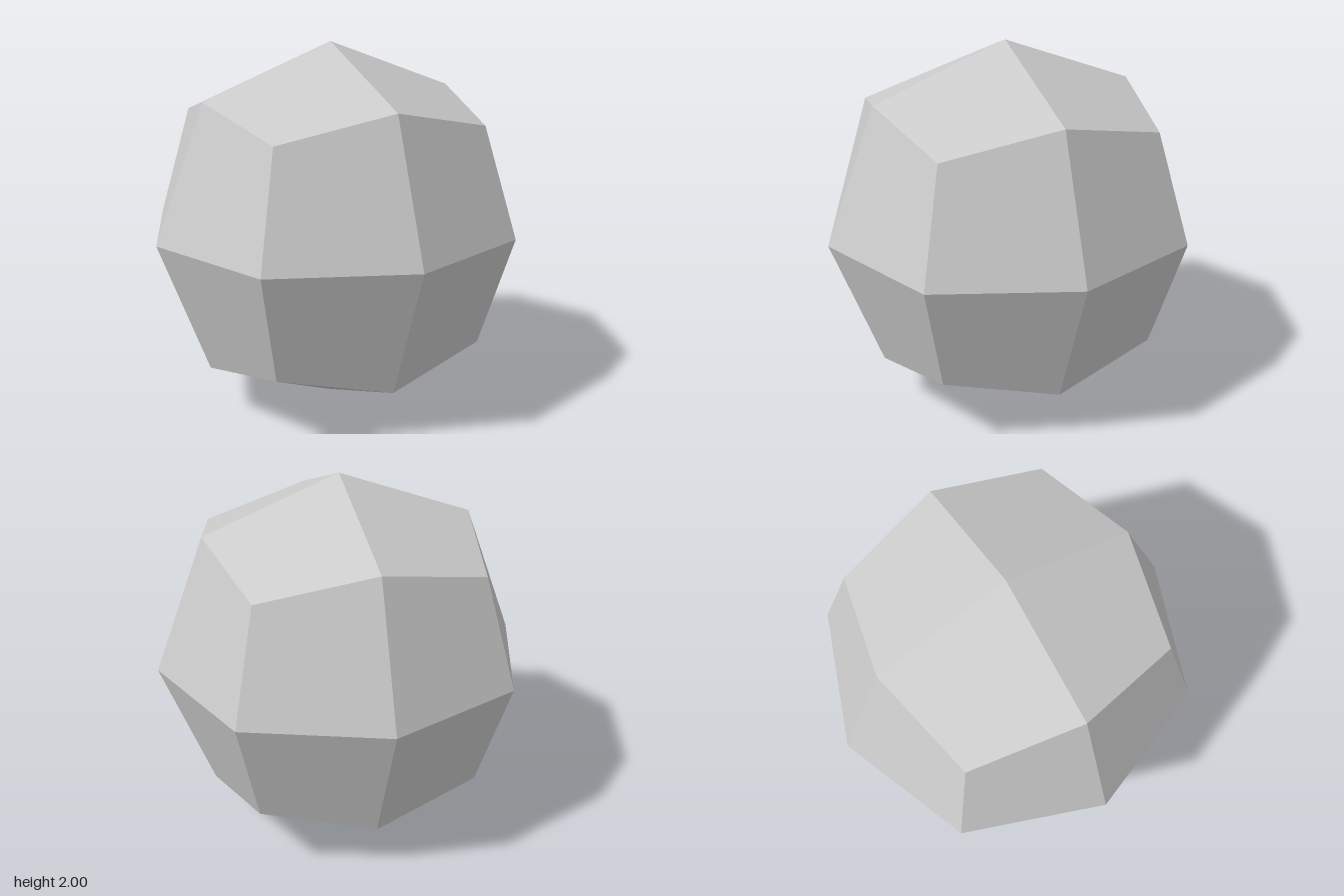
import * as THREE from 'three';

// Faceted ball: 24 kite-shaped facets, three in each octant.
const EDGE = 0.726;    // coordinate of points midway between two axes
const CORNER = 0.596;  // coordinate of points in the middle of an octant

// One kite around the given axis, in the octant set by the signs.
function addKite(axis, signs, positions, normals) {
  const point = (a, b, c) => {
    const p = new THREE.Vector3();
    [a, b, c].forEach((value, i) => {
      const k = (axis + i) % 3;
      p.setComponent(k, value * signs[k]);
    });
    return p;
  };
  const tip = point(1, 0, 0);
  const sideA = point(EDGE, EDGE, 0);
  const corner = point(CORNER, CORNER, CORNER);
  const sideB = point(EDGE, 0, EDGE);
  const mirrored = signs[0] * signs[1] * signs[2] < 0;
  const [first, last] = mirrored ? [sideB, sideA] : [sideA, sideB];

  // One shared normal keeps each kite evenly shaded
  const normal = corner.clone().sub(tip).cross(last.clone().sub(first)).normalize();
  for (const p of [tip, first, corner, tip, corner, last]) {
    positions.push(p.x, p.y + 1, p.z);
    normals.push(normal.x, normal.y, normal.z);
  }
}

export function createModel() {
  const positions = [];
  const normals = [];
  for (const sx of [1, -1])
    for (const sy of [1, -1])
      for (const sz of [1, -1])
        for (let axis = 0; axis < 3; axis++) addKite(axis, [sx, sy, sz], positions, normals);

  const geometry = new THREE.BufferGeometry();
  geometry.setAttribute('position', new THREE.Float32BufferAttribute(positions, 3));
  geometry.setAttribute('normal', new THREE.Float32BufferAttribute(normals, 3));

  const ball = new THREE.Mesh(geometry, new THREE.MeshStandardMaterial({ color: 0xcccccc }));
  ball.name = 'facetedBall';

  const group = new THREE.Group();
  group.name = 'facetedBallModel';
  group.add(ball);
  return group;
}
